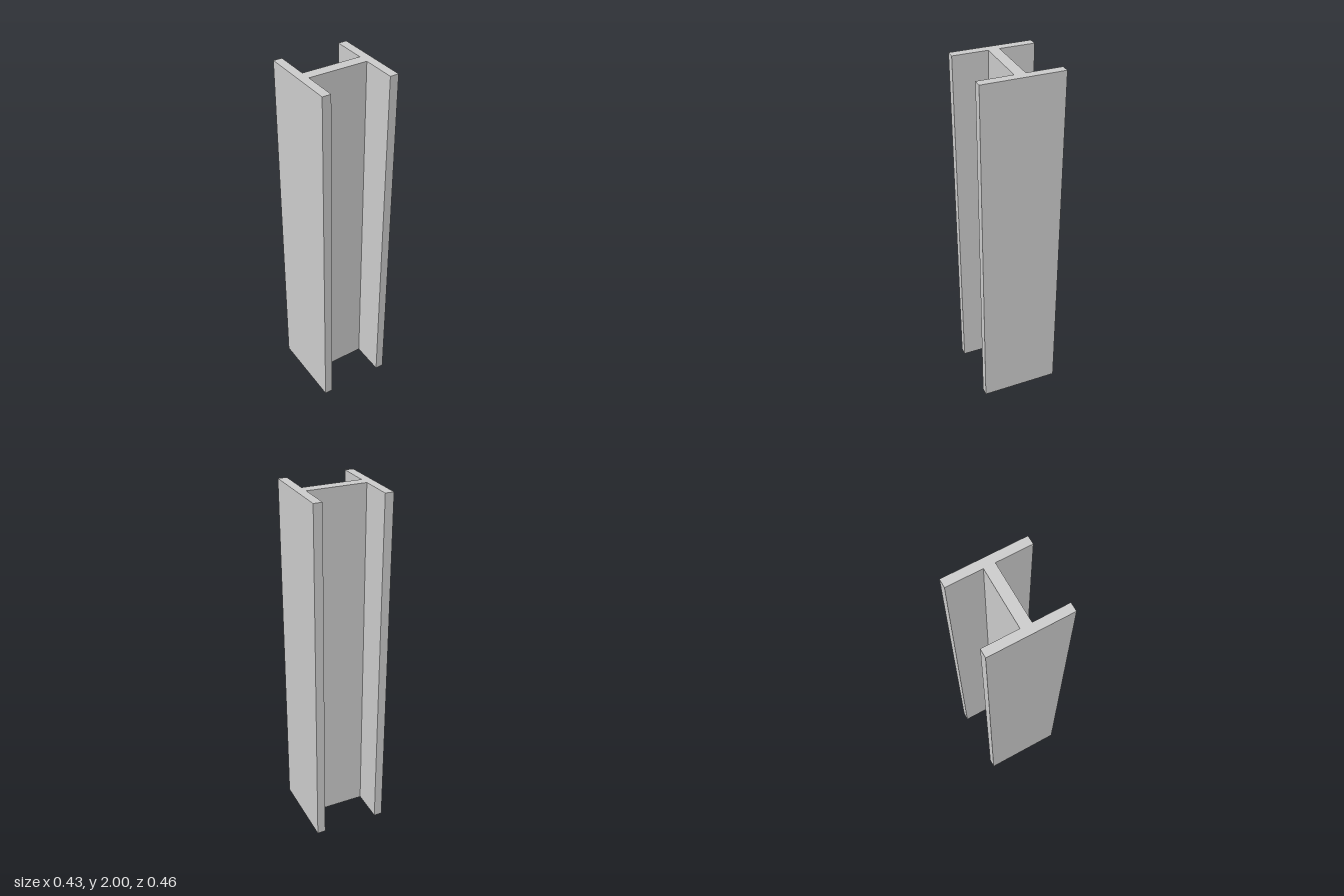
import * as THREE from 'three';

export function createModel() {
  const group = new THREE.Group();
  group.name = 'steelBeam';

  // H-shaped section: half width, half flange length, flange thickness, half web thickness
  const w = 0.2115, f = 0.2225, t = 0.048, h = 0.03, length = 2;
  const inner = w - t;
  const outline = [
    [-w, -f], [-inner, -f], [-inner, -h], [inner, -h], [inner, -f], [w, -f],
    [w, f], [inner, f], [inner, h], [-inner, h], [-inner, f], [-w, f],
  ].map(([x, y]) => new THREE.Vector2(x, y));

  // Section extruded upright
  const geometry = new THREE.ExtrudeGeometry(new THREE.Shape(outline), {
    depth: length, bevelEnabled: false,
  });
  geometry.rotateX(-Math.PI / 2);

  const beam = new THREE.Mesh(
    geometry,
    new THREE.MeshStandardMaterial({ color: 0xcccccc, flatShading: true }),
  );
  beam.name = 'beam';
  beam.rotation.y = 0.0248; // slight twist about the vertical
  group.add(beam);
  return group;
}
